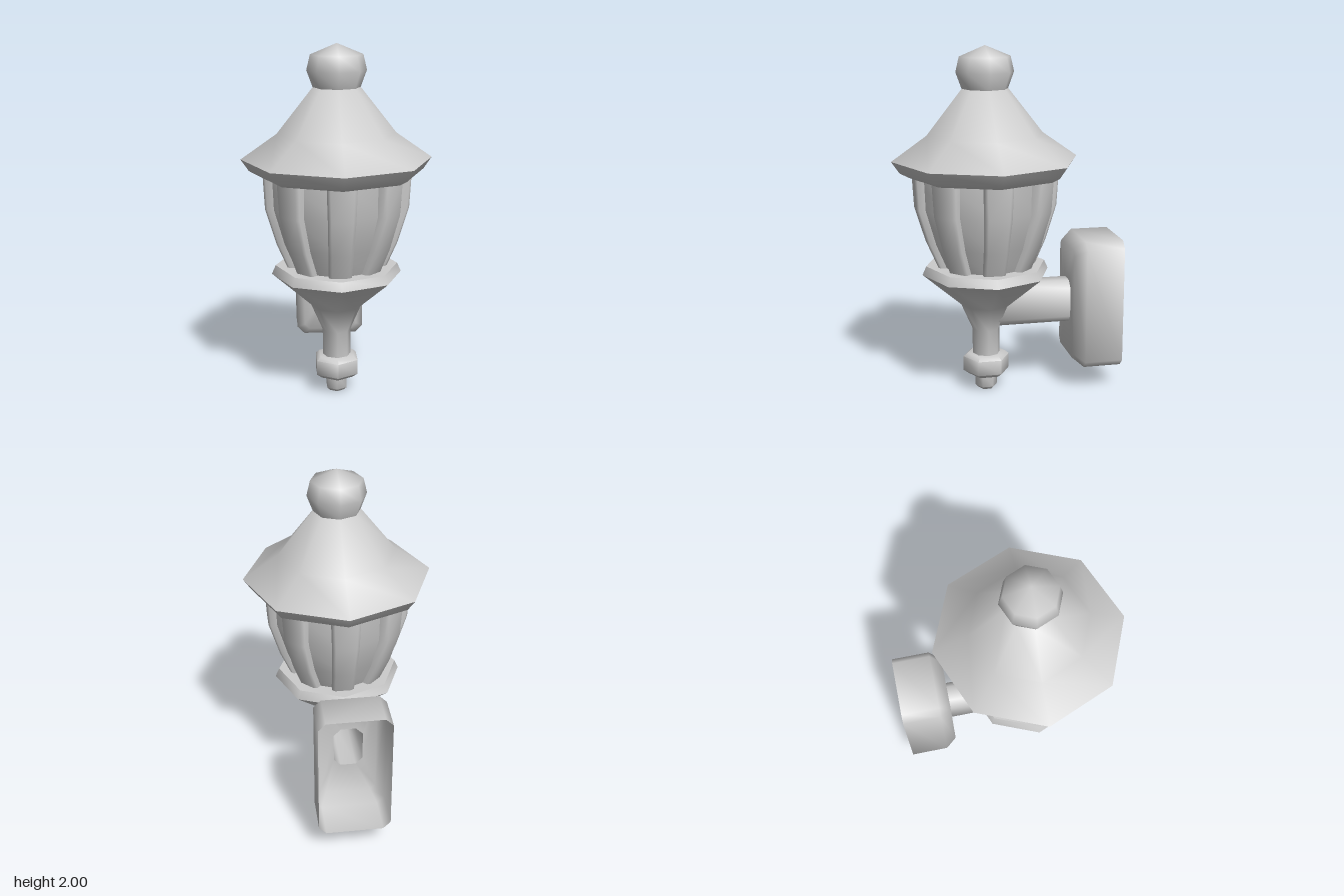
import * as THREE from 'three';
import { toCreasedNormals } from 'three/addons/utils/BufferGeometryUtils.js';

const AXIS_Z = 0.12; // the lantern hangs in front of its wall box
const CREASE = 1.1;

function part(name, geometry, side = THREE.FrontSide) {
  const material = new THREE.MeshStandardMaterial({ color: 0xcccccc, side });
  const mesh = new THREE.Mesh(toCreasedNormals(geometry, CREASE), material);
  mesh.name = name;
  return mesh;
}

// Faceted turned part; profile runs from bottom to top as [radius, y]
function turned(name, sides, profile) {
  const points = profile.map(([r, y]) => new THREE.Vector2(r, y));
  return part(name, new THREE.LatheGeometry(points, sides));
}

// Skin over closed rings that all have the same number of [x, y, z] points
function loft(rings) {
  const n = rings[0].length;
  const index = [];
  for (let k = 0; k < rings.length - 1; k++) {
    for (let i = 0; i < n; i++) {
      const a = k * n + i, b = k * n + (i + 1) % n;
      index.push(a, b, b + n, a, b + n, a + n);
    }
  }
  const geometry = new THREE.BufferGeometry();
  geometry.setAttribute('position', new THREE.Float32BufferAttribute(rings.flat(2), 3));
  geometry.setIndex(index);
  return geometry;
}

// Rectangle with cut corners, facing +z
function cutRect(w, h, c, y, z) {
  return [
    [w, -h + c], [w, h - c], [w - c, h], [-w + c, h],
    [-w, h - c], [-w, -h + c], [-w + c, -h], [w - c, -h],
  ].map(([px, py]) => [px, py + y, z]);
}

export function createModel() {
  const model = new THREE.Group();
  model.name = 'wallLantern';
  const lantern = new THREE.Group();
  lantern.name = 'lantern';
  lantern.position.z = AXIS_Z;
  model.add(lantern);

  lantern.add(
    turned('finial', 8, [[0, 1.76], [0.13, 1.76], [0.165, 1.855], [0.145, 1.94], [0, 2]]),
    turned('roof', 8, [[0, 1.28], [0.44, 1.28], [0.485, 1.305], [0.53, 1.37],
      [0.33, 1.51], [0.13, 1.765], [0, 1.765]]),
    turned('cup', 8, [[0, 0.2], [0.08, 0.2], [0.08, 0.37], [0.145, 0.52],
      [0.367, 0.71], [0.345, 0.76], [0, 0.76]]),
    turned('nut', 6, [[0, 0.09], [0.1, 0.09], [0.135, 0.115], [0.135, 0.2], [0.11, 0.22], [0, 0.22]]),
    turned('tip', 6, [[0, 0], [0.045, 0], [0.064, 0.018], [0.064, 0.1], [0, 0.1]]),
  );

  // Curved glass and the ribs that cover its corners: [radius, y, rib half width]
  const curve = [[0.275, 0.75, 0.062], [0.34, 0.9, 0.067], [0.4, 1.1, 0.074], [0.41, 1.285, 0.08]];
  lantern.add(turned('glass', 8, curve.map(([r, y]) => [r - 0.018, y])));

  const ribGeometry = loft(curve.map(([r, y, w]) => [
    [-w, y, r - 0.07], [-w, y, r - 0.013], [-w + 0.016, y, r],
    [w - 0.016, y, r], [w, y, r - 0.013], [w, y, r - 0.07],
  ]));
  for (let i = 0; i < 8; i++) {
    const rib = part('rib', ribGeometry);
    rib.rotation.y = i * Math.PI / 4;
    lantern.add(rib);
  }

  // Open-backed wall box running into the hollow arm
  model.add(part('wallBoxAndArm', loft([
    cutRect(0.203, 0.378, 0.042, 0.517, -0.65),
    cutRect(0.203, 0.378, 0.042, 0.517, -0.43),
    cutRect(0.16, 0.325, 0.03, 0.517, -0.365),
    cutRect(0.083, 0.125, 0.04, 0.515, -0.365),
    cutRect(0.083, 0.125, 0.04, 0.515, 0.08),
  ]), THREE.DoubleSide));

  return model;
}
